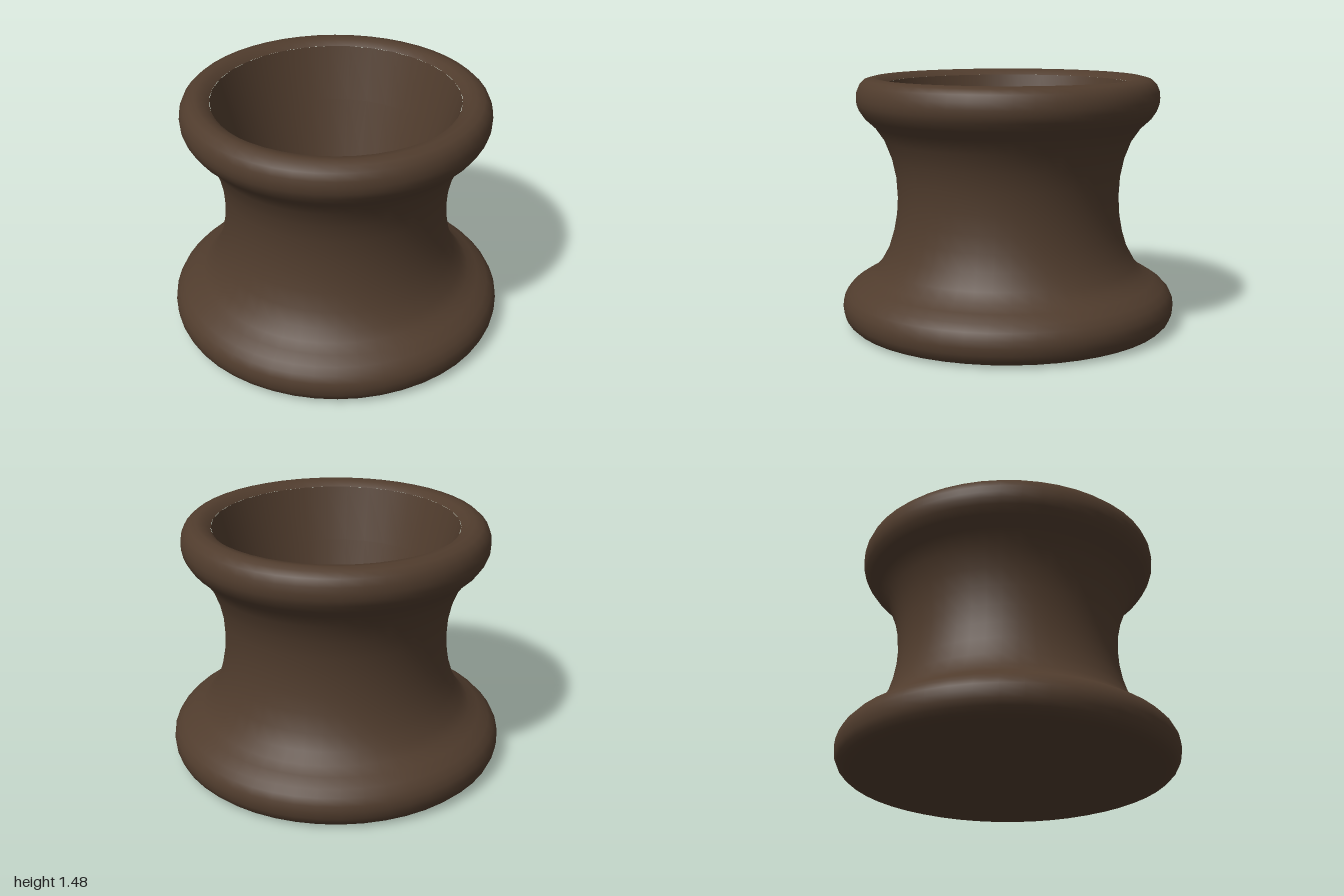
import * as THREE from 'three';

const wood = new THREE.MeshStandardMaterial({ color: 0x503c2d });
wood.name = 'dark brown';

// Revolves a profile of [radius, height] pairs around the y axis
function turned(name, profile, sides) {
  const points = profile.map(([r, y]) => new THREE.Vector2(r, y));
  const mesh = new THREE.Mesh(new THREE.LatheGeometry(points, sides), wood);
  mesh.name = name;
  return mesh;
}

export function createModel() {
  const model = new THREE.Group();
  model.name = 'mortarBowl';

  // Flat underside
  model.add(turned('underside', [[0, 0.005], [0.88, 0.005]], 48));

  // Rounded foot, waisted body and rolled rim
  model.add(turned('body', [
    [0.88, 0.005], [0.92, 0.008], [0.955, 0.02], [0.98, 0.045], [0.995, 0.08],
    [1, 0.12], [0.995, 0.16], [0.975, 0.2], [0.94, 0.237], [0.88, 0.275],
    [0.82, 0.31], [0.77, 0.365], [0.72, 0.455], [0.688, 0.56], [0.67, 0.66],
    [0.663, 0.77], [0.67, 0.89], [0.693, 1.0], [0.735, 1.11], [0.79, 1.19],
    [0.85, 1.245], [0.88, 1.29], [0.893, 1.325], [0.896, 1.36], [0.892, 1.4],
    [0.875, 1.44], [0.845, 1.468], [0.8, 1.48], [0.755, 1.473], [0.72, 1.445],
  ], 48));

  // Tapered hollow with a flat floor
  model.add(turned('hollowWall', [[0.72, 1.445], [0.63, 1.12], [0.52, 0.75]], 32));
  model.add(turned('hollowFloor', [[0.52, 0.75], [0, 0.75]], 32));

  return model;
}
